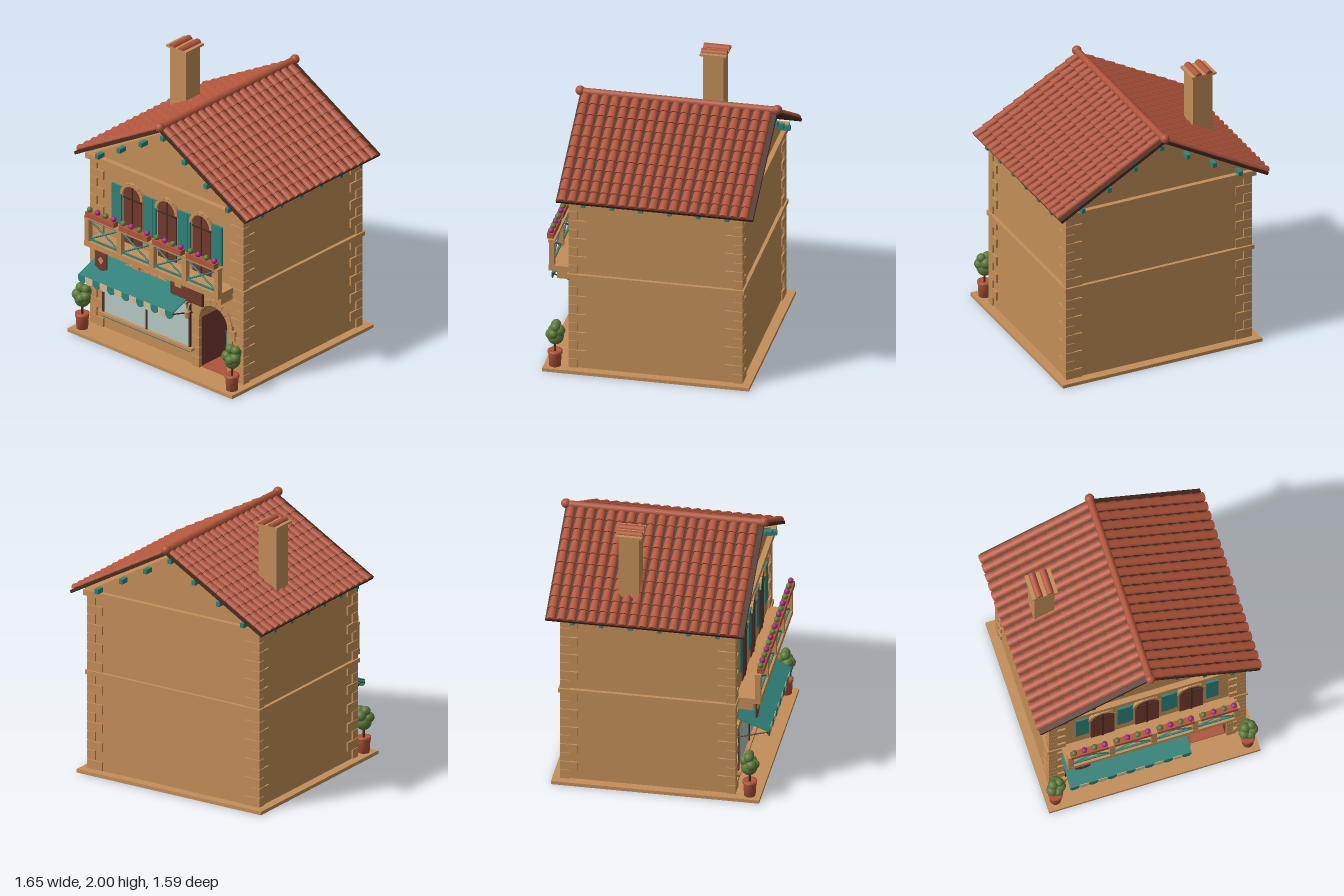
import * as THREE from 'three';
import { mergeGeometries } from 'three/addons/utils/BufferGeometryUtils.js';

const colour = (name, hex, side = THREE.FrontSide) => {
  const m = new THREE.MeshStandardMaterial({ color: hex, side });
  m.name = name;
  return m;
};

export function createModel() {
  const stone = colour('warm stone', 0xc38e58), terracotta = colour('terracotta', 0xb0543b);
  const deckBrown = colour('dark brown', 0x4a2c20), teal = colour('teal paint', 0x2f8078, THREE.DoubleSide);
  const glass = colour('pale glass', 0xb4c8c4), cream = colour('cream', 0xd2bd98, THREE.DoubleSide);
  const wood = colour('red wood', 0x71382c), leaf = colour('leaf green', 0x5d7a3a), petal = colour('magenta', 0x9c2f82);

  const house = new THREE.Group();
  house.name = 'house';
  const add = (name, geo, mat, x = 0, y = 0, z = 0, parent = house) => {
    const m = new THREE.Mesh(geo, mat);
    m.name = name;
    m.position.set(x, y, z);
    parent.add(m);
    return m;
  };
  const box = (name, mat, x0, x1, y0, y1, z0, z1, parent) =>
    add(name, new THREE.BoxGeometry(x1 - x0, y1 - y0, z1 - z0), mat, (x0 + x1) / 2, (y0 + y1) / 2, (z0 + z1) / 2, parent);
  const rod = (name, mat, a, b, r) => {
    const p = new THREE.Vector3(...a), q = new THREE.Vector3(...b), d = q.clone().sub(p);
    const m = add(name, new THREE.CylinderGeometry(r, r, d.length(), 8), mat);
    m.position.copy(p).add(q).multiplyScalar(0.5);
    m.quaternion.setFromUnitVectors(new THREE.Vector3(0, 1, 0), d.normalize());
  };
  const extrude = (shape, depth) => new THREE.ExtrudeGeometry(shape, { depth, bevelEnabled: false, curveSegments: 16 });
  const arched = (path, x, half, y0, spring) => {
    path.moveTo(x - half, y0);
    path.lineTo(x + half, y0);
    path.lineTo(x + half, spring);
    path.absarc(x, spring, half, 0, Math.PI, false);
    path.closePath();
    return path;
  };
  const archStones = (name, x, y, r0, r1, n, a0, a1, z, depth) => {
    const step = (a1 - a0) / n, gap = step * 0.03;
    for (let i = 0; i < n; i++) {
      const s = a0 + i * step + gap, e = a0 + (i + 1) * step - gap, shape = new THREE.Shape();
      shape.absarc(x, y, r1, s, e, false);
      shape.absarc(x, y, r0, e, s, true);
      add(name, extrude(shape, depth), stone, 0, 0, z);
    }
  };

  // Base, walls and gable
  const FZ = 0.56, BZ = -0.66, doorX = 0.447, doorHalf = 0.132, roomZ = 0.27;
  box('baseSlab', stone, -0.775, 0.775, 0, 0.025, -0.73, 0.75);
  box('wallBody', stone, -0.71, 0.71, 0.025, 1.36, BZ, roomZ);
  const front = new THREE.Shape([[-0.71, 0.025], [0.71, 0.025], [0.71, 1.36], [-0.71, 1.36]].map(p => new THREE.Vector2(...p)));
  front.holes.push(arched(new THREE.Path(), doorX, doorHalf, 0.03, 0.418));
  add('frontWall', extrude(front, FZ - roomZ), stone, 0, 0, roomZ);
  box('stringCourse', stone, -0.735, 0.735, 0.73, 0.76, -0.685, 0.58);
  box('cornice', stone, -0.745, 0.745, 1.32, 1.36, -0.695, 0.6);
  const gable = new THREE.Shape([[-0.7, 1.36], [0.7, 1.36], [0, 1.766]].map(p => new THREE.Vector2(...p)));
  add('gable', extrude(gable, FZ - BZ), stone, 0, 0, BZ);

  // Corner quoins, long and short sides alternating
  const quoins = (y0, y1, n) => {
    const h = (y1 - y0) / n;
    for (let i = 0; i < n; i++) for (const sx of [-1, 1]) for (const back of [false, true]) {
      const sideLong = (n - 1 - i) % 2 === 0, w = sideLong ? 0.065 : 0.125, d = sideLong ? 0.125 : 0.065;
      const x = sx * (0.723 - w / 2), z = back ? -0.673 + d / 2 : 0.573 - d / 2;
      add('quoin', new THREE.BoxGeometry(w, h - 0.004, d), stone, x, y0 + (i + 0.5) * h, z);
    }
  };
  quoins(0.025, 0.73, 10);
  quoins(0.76, 1.32, 8);

  // Roof: one slope, then its half-turn copy
  const zc = -0.06, slope = Math.atan(0.56), len = 0.927, cols = 19, rows = 10;
  const tiles = [];
  for (let c = 0; c < cols; c++) for (let r = 0; r < rows; r++) {
    const pitch = 1.375 / cols, g = new THREE.CylinderGeometry(0.026, 0.034, 0.105, 8, 1, false, 0, Math.PI);
    g.rotateZ(Math.PI / 2);
    g.scale(1, 0.8, 1);
    g.rotateZ(0.04);
    g.translate(0.05 + r * (len - 0.1) / (rows - 1), 0.001, -0.675 + (c + 0.5) * pitch);
    tiles.push(g);
  }
  const tileGeo = mergeGeometries(tiles);
  for (const turn of [0, Math.PI]) {
    const half = new THREE.Group(), plane = new THREE.Group();
    half.name = 'roofHalf';
    plane.name = 'roofSlope';
    half.position.set(0, 1.815, zc);
    half.rotation.y = turn;
    plane.rotation.z = -slope;
    half.add(plane);
    house.add(half);
    box('roofDeck', deckBrown, 0, len, -0.022, 0, -0.705, 0.705, plane);
    add('roofTiles', tileGeo, terracotta, 0, 0, 0, plane);
  }
  rod('ridge', terracotta, [0, 1.825, -0.765], [0, 1.825, 0.645], 0.027);
  for (const z of [-0.765, 0.645]) add('ridgeBall', new THREE.SphereGeometry(0.034, 16, 12), terracotta, 0, 1.83, z);

  // Rafter ends under the gables and eaves
  for (let i = -3; i <= 3; i++) for (const z of [FZ + 0.03, BZ - 0.03])
    add('gableRafter', new THREE.BoxGeometry(0.03, 0.034, 0.07), teal, i * 0.204, 1.73 - Math.abs(i) * 0.117, z);
  for (let i = 0; i < 6; i++) for (const s of [-1, 1])
    add('eaveRafter', new THREE.BoxGeometry(0.085, 0.03, 0.03), teal, s * 0.755, 1.338, 0.455 - i * 0.206);

  // Chimney
  box('chimneyStack', stone, -0.605, -0.455, 1.4, 1.966, -0.28, -0.135);
  box('chimneyCap', stone, -0.625, -0.437, 1.963, 1.978, -0.302, -0.113);
  for (const x of [-0.572, -0.49]) {
    const g = new THREE.CylinderGeometry(0.027, 0.027, 0.186, 12, 1, false, 0, Math.PI);
    g.rotateZ(Math.PI / 2);
    g.rotateY(Math.PI / 2);
    add('chimneyTile', g, terracotta, x, 1.973, -0.208);
  }

  // Upper windows with shutters
  for (const x of [-0.325, 0, 0.325]) {
    add('upperWindow', extrude(arched(new THREE.Shape(), x, 0.086, 0.765, 1.137), 0.008), wood, 0, 0, FZ);
    box('windowMullion', deckBrown, x - 0.006, x + 0.006, 0.765, 1.215, FZ, FZ + 0.014);
    box('windowBar', deckBrown, x - 0.086, x + 0.086, 1.112, 1.124, FZ, FZ + 0.014);
    archStones('windowArch', x, 1.137, 0.084, 0.108, 7, 0, Math.PI, FZ, 0.022);
    for (const s of [-1, 1]) {
      const cx = x + s * 0.15, z = FZ + (s > 0 ? 0.016 : 0.012);
      box('shutter', teal, cx - 0.046, cx + 0.046, 0.89, 1.19, FZ, z);
    }
  }

  // Balcony
  box('balconyFloor', stone, -0.63, 0.63, 0.722, 0.762, FZ, 0.735);
  for (const x of [-0.58, -0.2, 0.2, 0.58]) box('balconyCorbel', stone, x - 0.03, x + 0.03, 0.657, 0.722, FZ, 0.68);
  box('handrail', stone, -0.63, 0.63, 0.94, 0.96, 0.69, 0.738);
  for (let i = -2; i <= 2; i++) box('balconyPost', stone, i * 0.305 - 0.02, i * 0.305 + 0.02, 0.76, 0.945, 0.695, 0.733);
  for (const x of [-0.458, -0.153, 0.153, 0.458]) {
    for (const y of [0.775, 0.93]) box('panelRail', teal, x - 0.133, x + 0.133, y - 0.006, y + 0.006, 0.708, 0.72);
    for (const s of [-1, 1]) rod('crossBrace', teal, [x - 0.13, 0.853 - s * 0.072, 0.714], [x + 0.13, 0.853 + s * 0.072, 0.714], 0.006);
  }
  for (const x of [-0.474, -0.158, 0.158, 0.474]) {
    box('flowerBox', terracotta, x - 0.135, x + 0.135, 0.96, 0.998, 0.705, 0.752);
    for (let i = 0; i < 4; i++)
      add(i % 2 ? 'flower' : 'flowerLeaves', new THREE.SphereGeometry(0.021, 12, 10), i % 2 ? petal : leaf, x - 0.112 + i * 0.075, 1.014, 0.726);
  }

  // Shop window
  box('shopGlass', glass, -0.605, 0.22, 0.15, 0.53, FZ, FZ + 0.008);
  for (const x of [-0.597, -0.19, 0.215]) box('shopFrame', deckBrown, x - 0.008, x + 0.008, 0.15, 0.53, FZ, FZ + 0.016);
  box('shopSill', stone, -0.632, 0.25, 0.132, 0.152, FZ, 0.595);
  box('sillBoard', teal, -0.6, 0.218, 0.115, 0.132, FZ, 0.58);
  archStones('shopArch', -0.19, -0.55, 1.09, 1.16, 13, 1.19, 1.95, FZ, 0.018);

  // Awning with scalloped edge
  const awning = add('awningCloth', new THREE.BoxGeometry(0.89, 0.006, 0.247), teal, -0.19, 0.553, 0.677);
  awning.rotation.x = 0.354;
  const n = 13, w = 0.89 / n;
  for (let i = 0; i < n; i++) {
    const s = new THREE.Shape(), r = w / 2;
    s.moveTo(-r, 0.515);
    s.lineTo(-r, 0.492);
    s.absarc(0, 0.492, r, Math.PI, Math.PI * 2, false);
    s.lineTo(r, 0.515);
    add('scallop', extrude(s, 0.004), i % 2 ? cream : teal, -0.635 + (i + 0.5) * w, 0, 0.791);
  }
  rod('awningRod', deckBrown, [-0.635, 0.492, 0.787], [0.255, 0.492, 0.787], 0.006);
  for (const x of [-0.61, 0.23]) rod('awningStrut', deckBrown, [x, 0.425, FZ], [x, 0.492, 0.787], 0.005);

  // Doorway with the room behind
  box('backWall', cream, doorX - 0.132, doorX + 0.132, 0.03, 0.551, roomZ - 0.002, roomZ + 0.004);
  box('floor', terracotta, doorX - 0.131, doorX + 0.131, 0.03, 0.036, roomZ, FZ);
  box('counter', teal, doorX - 0.13, doorX + 0.13, 0.06, 0.2, roomZ, 0.31);
  box('counterTop', wood, doorX - 0.131, doorX + 0.131, 0.2, 0.218, roomZ, 0.318);
  box('counterFoot', wood, doorX - 0.131, doorX + 0.131, 0.035, 0.06, roomZ, 0.316);
  for (const s of [-1, 1]) add('doorLining', new THREE.BoxGeometry(0.007, 0.384, FZ - roomZ), wood, doorX + s * 0.1287, 0.226, (FZ + roomZ) / 2);
  archStones('doorArch', doorX, 0.418, 0.132, 0.178, 9, 0, Math.PI, FZ, 0.022);
  for (let i = 0; i < 5; i++) for (const s of [-1, 1]) {
    const jw = i % 2 ? 0.046 : 0.068;
    add('doorJamb', new THREE.BoxGeometry(jw, 0.075, 0.022), stone, doorX + s * (0.132 + jw / 2), 0.064 + i * 0.0786, FZ + 0.011);
  }

  // Hanging sign, pennant and lantern
  rod('signBar', deckBrown, [0.07, 0.707, 0.64], [0.43, 0.707, 0.64], 0.005);
  box('signFrame', deckBrown, 0.104, 0.406, 0.555, 0.682, 0.632, 0.646);
  box('signBoard', wood, 0.114, 0.396, 0.565, 0.672, 0.628, 0.65);
  for (const x of [0.16, 0.35]) rod('signHanger', deckBrown, [x, 0.68, 0.64], [x, 0.72, 0.64], 0.004);
  const poly = pts => new THREE.Shape(pts.map(p => new THREE.Vector2(...p)));
  add('pennant', extrude(poly([[-0.055, 0.71], [-0.055, 0.57], [0, 0.542], [0.055, 0.57], [0.055, 0.71]]), 0.006), wood, -0.51, 0, 0.688);
  add('pennantDiamond', extrude(poly([[0, 0.66], [-0.024, 0.628], [0, 0.596], [0.024, 0.628]]), 0.003), stone, -0.51, 0, 0.694);
  rod('pennantRod', deckBrown, [-0.57, 0.712, 0.691], [-0.45, 0.712, 0.691], 0.005);
  rod('lanternArm', deckBrown, [0.235, 0.52, FZ], [0.235, 0.52, 0.625], 0.004);
  rod('lanternHook', deckBrown, [0.235, 0.52, 0.62], [0.235, 0.48, 0.62], 0.003);
  add('lanternBody', new THREE.CylinderGeometry(0.02, 0.015, 0.05, 8), stone, 0.235, 0.432, 0.62);
  add('lanternCap', new THREE.ConeGeometry(0.027, 0.028, 8), stone, 0.235, 0.47, 0.62);

  // Potted shrubs
  const potProfile = [[0, 0], [0.041, 0], [0.047, 0.1], [0.052, 0.1], [0.052, 0.117], [0.04, 0.117], [0, 0.108]].map(p => new THREE.Vector2(...p));
  const bushes = [[0, 0.25, 0, 0.058], [-0.032, 0.285, 0.02, 0.04], [0.036, 0.285, 0.01, 0.038], [0.005, 0.3, -0.028, 0.042],
    [-0.018, 0.335, 0, 0.036], [0.028, 0.335, -0.005, 0.034], [0.01, 0.27, 0.035, 0.036]];
  for (const x of [-0.705, 0.705]) {
    const pot = add('pot', new THREE.LatheGeometry(potProfile, 20), terracotta, x, 0.025, 0.672);
    pot.material = terracotta;
    rod('shrubStem', deckBrown, [x, 0.13, 0.672], [x, 0.25, 0.672], 0.008);
    for (const [bx, by, bz, r] of bushes) add('shrubLeaves', new THREE.SphereGeometry(r, 14, 10), leaf, x + bx, by, 0.668 + bz);
  }
  return house;
}
